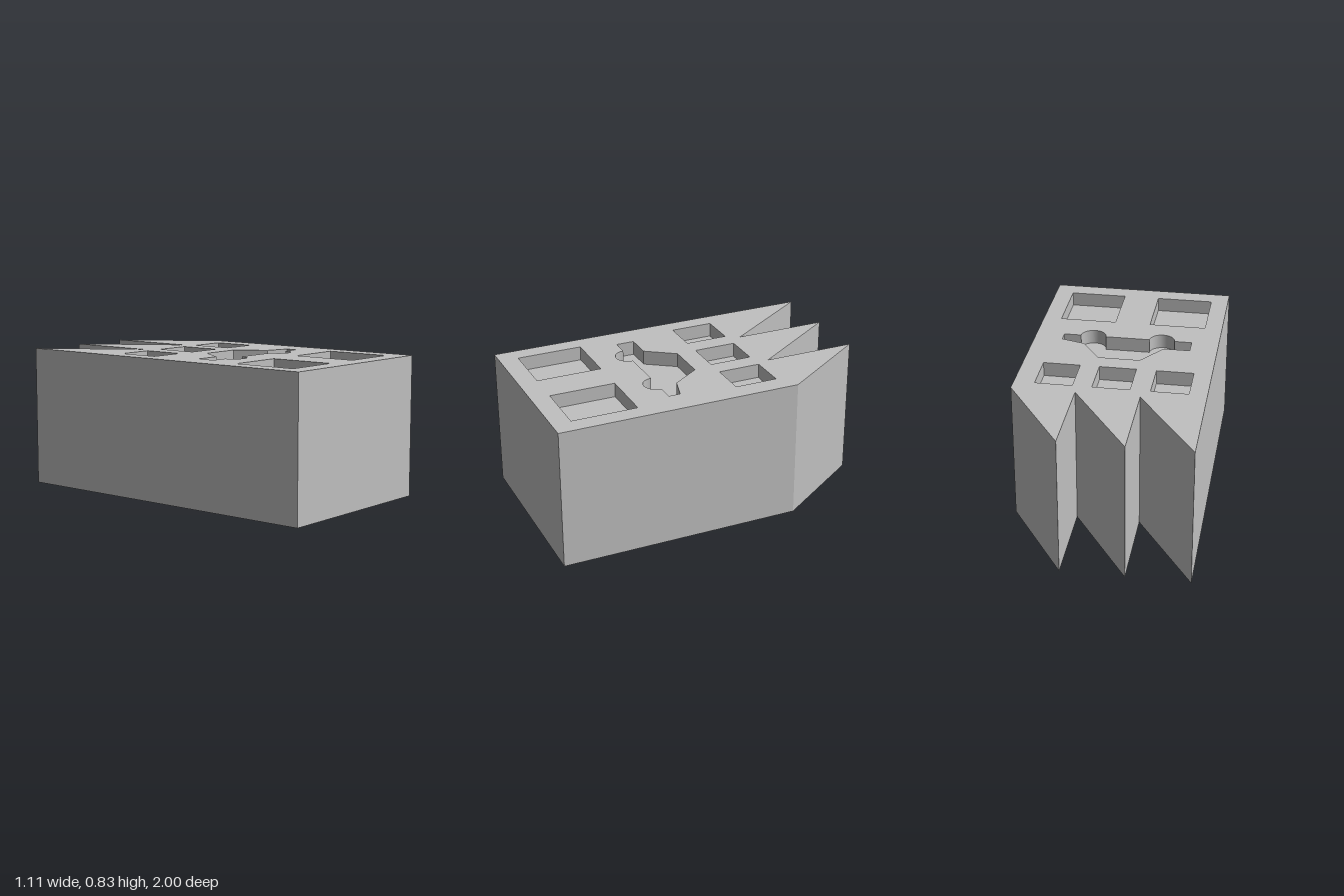
import * as THREE from 'three';

const HEIGHT = 0.835, RECESS = 0.085, HALF_W = 0.555, VALLEY_Z = -0.445;

const grey = new THREE.MeshStandardMaterial({ color: 0xc0c0c0 });
grey.name = 'plain grey';

// Plan shapes are drawn as (x, z)
function outline() {
  const tooth = (2 * HALF_W) / 3;
  const s = new THREE.Shape();
  s.moveTo(-HALF_W, 1);
  for (let i = 0; i < 3; i++) { // sawtooth roof
    const x = -HALF_W + i * tooth;
    s.lineTo(x, -1);
    s.lineTo(x + tooth, VALLEY_Z);
  }
  s.lineTo(HALF_W, 1);
  s.closePath();
  return s;
}

function rectangle(x0, x1, z0, z1) {
  const p = new THREE.Path();
  p.moveTo(x0, z0);
  p.lineTo(x1, z0);
  p.lineTo(x1, z1);
  p.lineTo(x0, z1);
  p.closePath();
  return p;
}

// Car silhouette with two half-round wheels
function car() {
  const p = new THREE.Path();
  const sill = 0.283, r = 0.076;
  p.moveTo(-0.392, 0.174);
  for (const [x, z] of [[-0.235, 0.174], [-0.117, 0.004], [0.13, 0.004],
    [0.247, 0.174], [0.386, 0.214], [0.386, sill]]) p.lineTo(x, z);
  for (const x of [0.207, -0.212]) p.absarc(x, sill, r, 0, Math.PI, false);
  p.lineTo(-0.392, sill);
  p.closePath();
  return p;
}

// Extrude a plan shape downwards from the given top height
function slab(name, shape, top, depth) {
  const geo = new THREE.ExtrudeGeometry(shape, { depth, bevelEnabled: false, curveSegments: 20 });
  geo.rotateX(Math.PI / 2);
  geo.translate(0, top, 0);
  const mesh = new THREE.Mesh(geo, grey);
  mesh.name = name;
  return mesh;
}

export function createModel() {
  const group = new THREE.Group();
  group.name = 'factoryBlock';

  // Solid body, whose top is the floor of the recesses
  group.add(slab('body', outline(), HEIGHT - RECESS, HEIGHT - RECESS));

  // Top layer pierced by windows, car and doors
  const face = outline();
  for (const x of [-0.45, -0.115, 0.216]) face.holes.push(rectangle(x, x + 0.218, -0.367, -0.113));
  for (const x of [-0.45, 0.106]) face.holes.push(rectangle(x, x + 0.34, 0.496, 0.887));
  face.holes.push(car());
  group.add(slab('recessedFace', face, HEIGHT, RECESS));

  return group;
}
